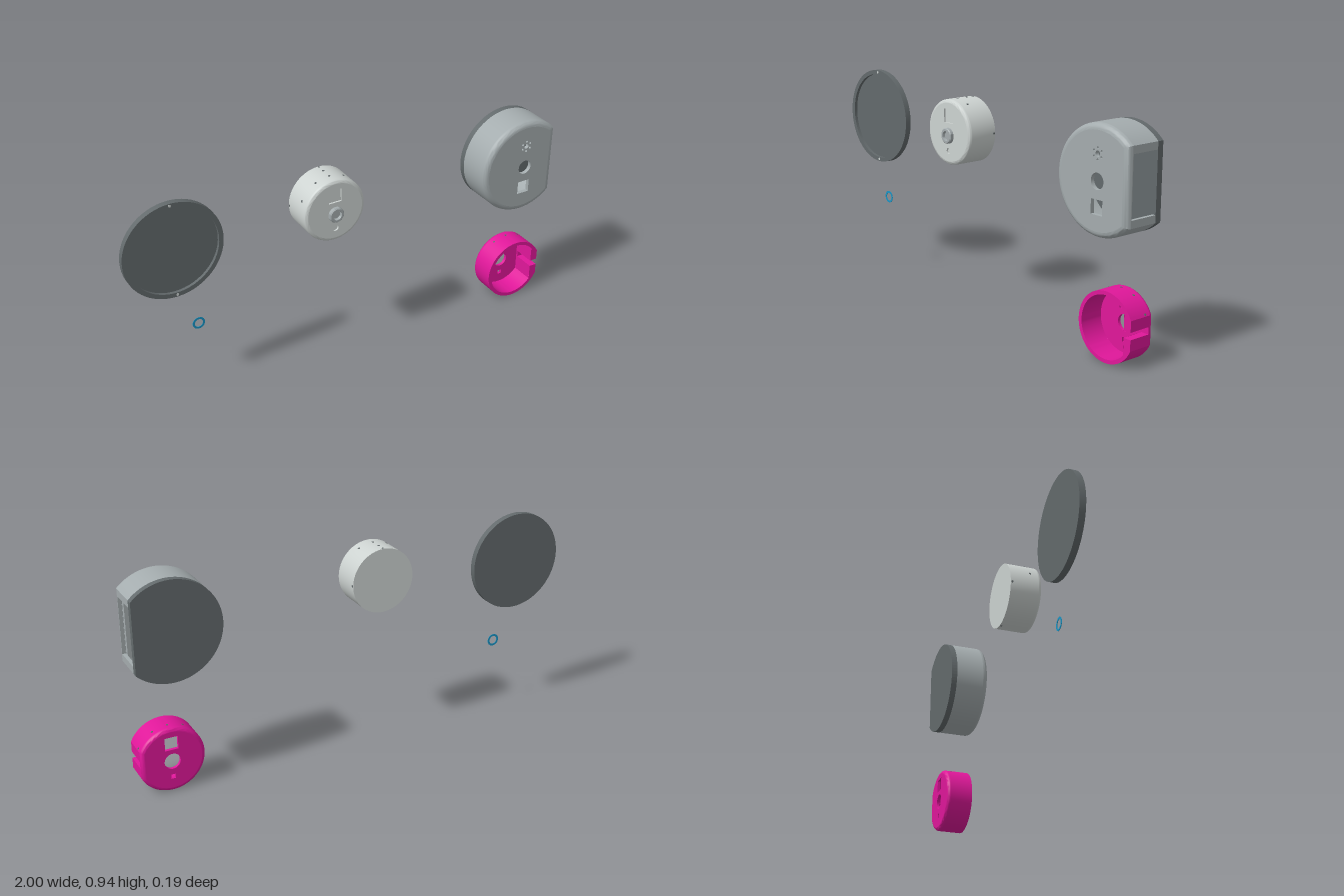
import * as THREE from 'three';
import { mergeVertices, toCreasedNormals } from 'three/addons/utils/BufferGeometryUtils.js';

const N = 64;
const mat = (color) => new THREE.MeshStandardMaterial({ color, side: THREE.DoubleSide });
const BODY = mat(0xa4acae), DARK = mat(0x636a6c), LIGHT = mat(0xcdd3d1), PINK = mat(0xe0179a), BLUE = mat(0x1a94c4);

function add(parent, name, geometry, material, x = 0, y = 0, z = 0) {
  const m = new THREE.Mesh(geometry, material);
  m.name = name;
  m.position.set(x, y, z);
  parent.add(m);
  return m;
}

function group(parent, name, x, y, z = 0) {
  const g = new THREE.Group();
  g.name = name;
  g.position.set(x, y, z);
  parent.add(g);
  return g;
}

// Circle of radius r with a flat at x = c; the arc runs from the top of the flat round to its bottom
function outline(r, c) {
  const a = Math.acos(c / r);
  return Array.from({ length: N + 1 }, (_, i) => {
    const t = a + (i / N) * 2 * (Math.PI - a);
    return new THREE.Vector2(r * Math.cos(t), r * Math.sin(t));
  });
}

// Surface through equal loops [{ pts, z }]; closed also spans the flat
function skin(loops, closed, inward = false) {
  const pos = [], idx = [], n = N + 1;
  loops.forEach(({ pts, z }) => pts.forEach((p) => pos.push(p.x, p.y, z)));
  for (let k = 0; k < loops.length - 1; k++)
    for (let i = 0; i < (closed ? n : N); i++) {
      const j = (i + 1) % n, a = k * n + i, b = k * n + j, c = a + n, d = b + n;
      if (inward) idx.push(a, d, b, a, c, d);
      else idx.push(a, b, d, a, d, c);
    }
  const g = new THREE.BufferGeometry();
  g.setAttribute('position', new THREE.Float32BufferAttribute(pos, 3));
  g.setIndex(idx);
  return toCreasedNormals(mergeVertices(g), 0.6);
}

const extrude = (shape, depth) =>
  new THREE.ExtrudeGeometry(shape, { depth, bevelEnabled: false, curveSegments: 32 });

const circleHole = (x, y, r) => new THREE.Path().absarc(x, y, r, 0, Math.PI * 2, true);
const squareHole = (x, y, s) => new THREE.Path([[-1, -1], [-1, 1], [1, 1], [1, -1]]
  .map(([u, v]) => new THREE.Vector2(x + u * s / 2, y + v * s / 2)));

const polar = (r, t) => [r * Math.sin(t), r * Math.cos(t)];

// Tiny pin marks on a round wall, angle measured from the top
function pins(parent, r, list) {
  for (const [deg, z] of list) {
    const t = THREE.MathUtils.degToRad(deg), [x, y] = polar(r, t);
    const m = add(parent, 'pinHole', new THREE.CylinderGeometry(0.005, 0.005, 0.002, 12), DARK, x, y, z);
    m.rotation.z = -t;
  }
}

// Hollow flat-sided case: rounded face at z = front, open at z = back, window in the flat side
function shell(parent, o) {
  const { r, c, front, back, fillet, wall, flatWall, face, winHalf, winEnd, holes, material } = o;
  const r2 = r - wall, c2 = c - flatWall, start = front - fillet;
  const outer = outline(r, c), inner = outline(r2, c2);

  const round = Array.from({ length: 9 }, (_, i) => {
    const t = (i / 8) * Math.PI / 2, d = fillet * (1 - Math.cos(t));
    return { pts: outline(r - d, c - d), z: start + fillet * Math.sin(t) };
  });
  add(parent, 'roundedEdge', skin(round, true), material);
  add(parent, 'outerWall', skin([{ pts: outer, z: back }, { pts: outer, z: start }], false), material);
  add(parent, 'innerWall', skin([{ pts: inner, z: back }, { pts: inner, z: front - face }], false, true), material);

  const plate = new THREE.Shape(outline(r - fillet, c - fillet));
  plate.holes.push(...holes);
  add(parent, 'face', extrude(plate, face), material, 0, 0, front - face);

  // Flat side with a window open towards the rim
  const panel = (h, end) => new THREE.Shape([
    [back, -h], [end, -h], [end, h], [back, h], [back, winHalf], [winEnd, winHalf], [winEnd, -winHalf], [back, -winHalf],
  ].map(([u, v]) => new THREE.Vector2(u, v)));
  const outerFlat = extrude(panel(outer[0].y, start), flatWall);
  const innerFlat = new THREE.ShapeGeometry(panel(inner[0].y, front - face));
  add(parent, 'flatSide', outerFlat.rotateY(-Math.PI / 2), material, c);
  add(parent, 'flatSideInside', innerFlat.rotateY(-Math.PI / 2), material, c2 - 0.0005);

  // Rim around the open end
  const V = (x, y) => new THREE.Vector2(x, y);
  const rim = new THREE.Shape([...outer, V(c, -winHalf), V(c2, -winHalf), ...inner.slice().reverse(), V(c2, winHalf), V(c, winHalf)]);
  add(parent, 'rim', new THREE.ShapeGeometry(rim).rotateX(Math.PI), material, 0, 0, back);
}

export function createModel() {
  const model = new THREE.Group();
  model.name = 'housingParts';

  // Large flat-sided case with its back plate
  const main = group(model, 'mainCase', 0.845, 0.725);
  const vent = Array.from({ length: 6 }, (_, i) => {
    const [x, y] = polar(0.023, i * Math.PI / 3);
    return circleHole(x, y + 0.105, 0.005);
  });
  shell(main, {
    r: 0.22, c: 0.155, front: 0.093, back: -0.064, fillet: 0.025, wall: 0.02, flatWall: 0.015, face: 0.018,
    winHalf: 0.125, winEnd: 0.066, material: BODY,
    holes: [circleHole(0, 0, 0.033), squareHole(0, -0.1, 0.06), circleHole(0, 0.105, 0.012), ...vent],
  });
  add(main, 'backPlate', extrude(new THREE.Shape(outline(0.22, 0.155)), 0.027), DARK, 0, 0, -0.091);

  // Round lid with a recessed front
  const lid = group(model, 'lid', -0.78, 0.725);
  const lidProfile = [[0, -0.095], [0.22, -0.095], [0.22, -0.068], [0.2, -0.068], [0.2, -0.082], [0, -0.082]];
  add(lid, 'lidDisc', turned(lidProfile), DARK);
  for (const s of [-1, 1])
    add(lid, 'lidNotch', new THREE.CylinderGeometry(0.006, 0.006, 0.002, 12).rotateX(Math.PI / 2), LIGHT, 0, s * 0.21, -0.068);

  // Small solid unit with a lens and shallow recesses
  const unit = group(model, 'lensUnit', -0.1, 0.762);
  const edge = Array.from({ length: 7 }, (_, i) => {
    const t = (i / 6) * Math.PI / 2;
    return [0.128 + 0.015 * Math.cos(t), 0.03 + 0.015 * Math.sin(t)];
  });
  add(unit, 'unitBody', turned([[0, -0.097], [0.143, -0.097], ...edge, [0.128, 0.037], [0, 0.037]]), LIGHT);
  const plate = new THREE.Shape().absarc(0, 0, 0.128, 0, Math.PI * 2);
  plate.holes.push(squareHole(0, 0.071, 0.06), circleHole(0, -0.082, 0.014));
  add(unit, 'unitFace', extrude(plate, 0.008), LIGHT, 0, 0, 0.037);
  add(unit, 'lens', turned([[0.034, 0.04], [0.034, 0.058], [0.03, 0.062], [0.021, 0.062], [0.019, 0.05], [0, 0.05]]), BODY, 0, -0.014);
  pins(unit, 0.143, [[-65, -0.005], [-27, -0.005], [0, -0.005], [28, -0.005], [0, -0.055]]);
  for (let i = 0; i < 4; i++) pins(unit, 0.143, [[i * 90, -0.09]]);

  // Cup, turned so that it opens to the front
  const cup = group(model, 'cup', 0.868, 0.146);
  cup.rotation.x = Math.PI;
  shell(cup, {
    r: 0.1455, c: 0.132, front: 0.07, back: -0.051, fillet: 0.016, wall: 0.016, flatWall: 0.035, face: 0.014,
    winHalf: 0.015, winEnd: 0.048, material: PINK,
    holes: [squareHole(0, -0.077, 0.058), circleHole(0, 0.006, 0.035), squareHole(0, 0.077, 0.02)],
  });
  pins(cup, 0.1455, [[118, 0.03], [153, 0.03], [180, 0.03], [207, 0.03]]);

  // Thin sealing ring
  add(model, 'sealRing', turned([[0.019, -0.066], [0.028, -0.066], [0.028, -0.064], [0.019, -0.064], [0.019, -0.066]]), BLUE, -0.7, 0.343);

  return model;
}

// Lathe about the z axis from [radius, z] points
function turned(points) {
  const g = new THREE.LatheGeometry(points.map(([r, z]) => new THREE.Vector2(r, z)), N);
  return toCreasedNormals(g.rotateX(Math.PI / 2), 0.6);
}
